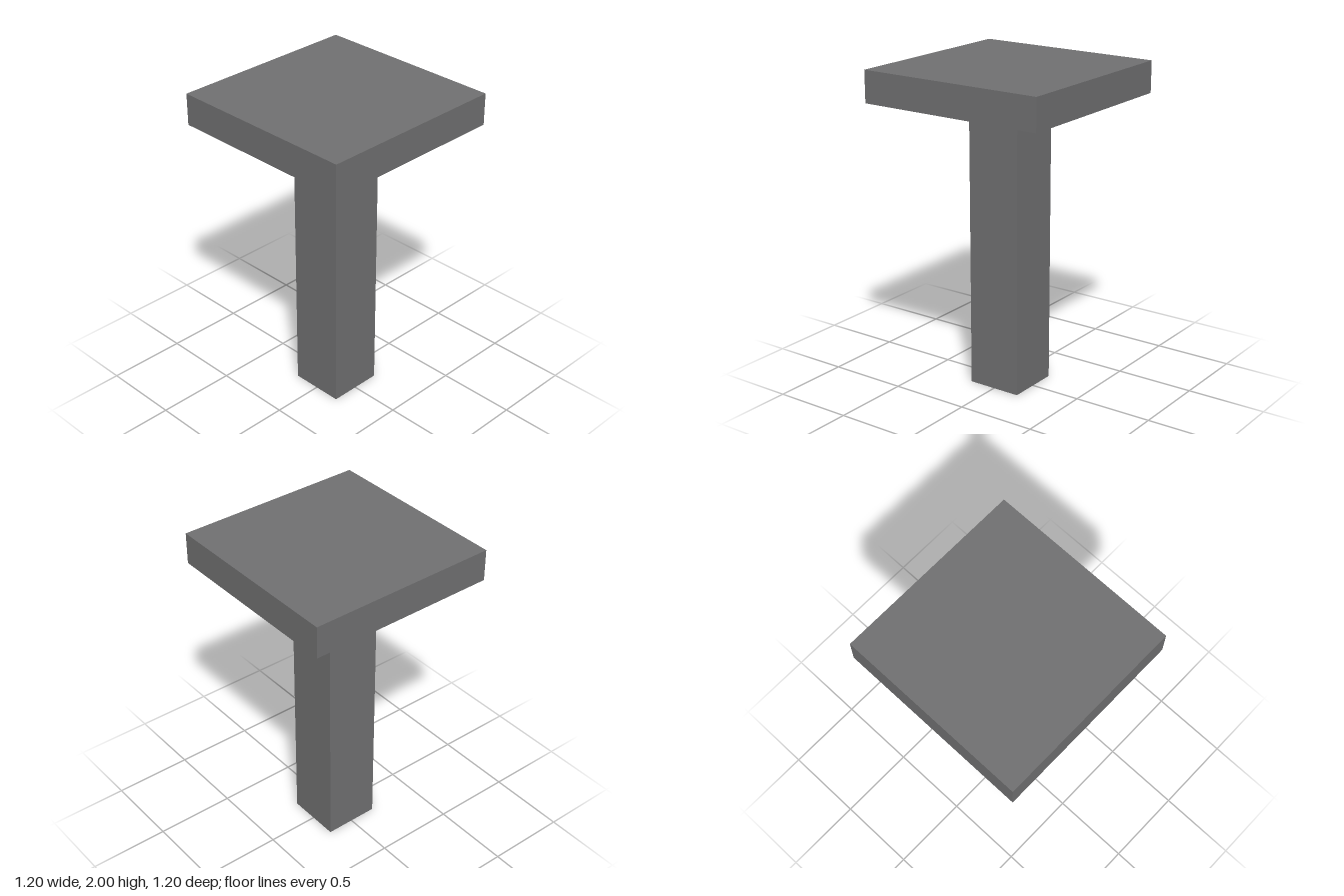
import * as THREE from 'three';

export function createModel() {
  const group = new THREE.Group();
  group.name = 'pedestal';

  const stone = new THREE.MeshStandardMaterial({ color: 0x707071 });
  stone.name = 'dark grey';

  // square block centred on the axis, standing on height y
  const block = (name, width, height, y) => {
    const mesh = new THREE.Mesh(new THREE.BoxGeometry(width, height, width), stone);
    mesh.name = name;
    mesh.position.y = y + height / 2;
    group.add(mesh);
  };

  block('column', 0.347, 1.803, 0);
  block('topSlab', 1.2, 0.197, 1.803);

  return group;
}
